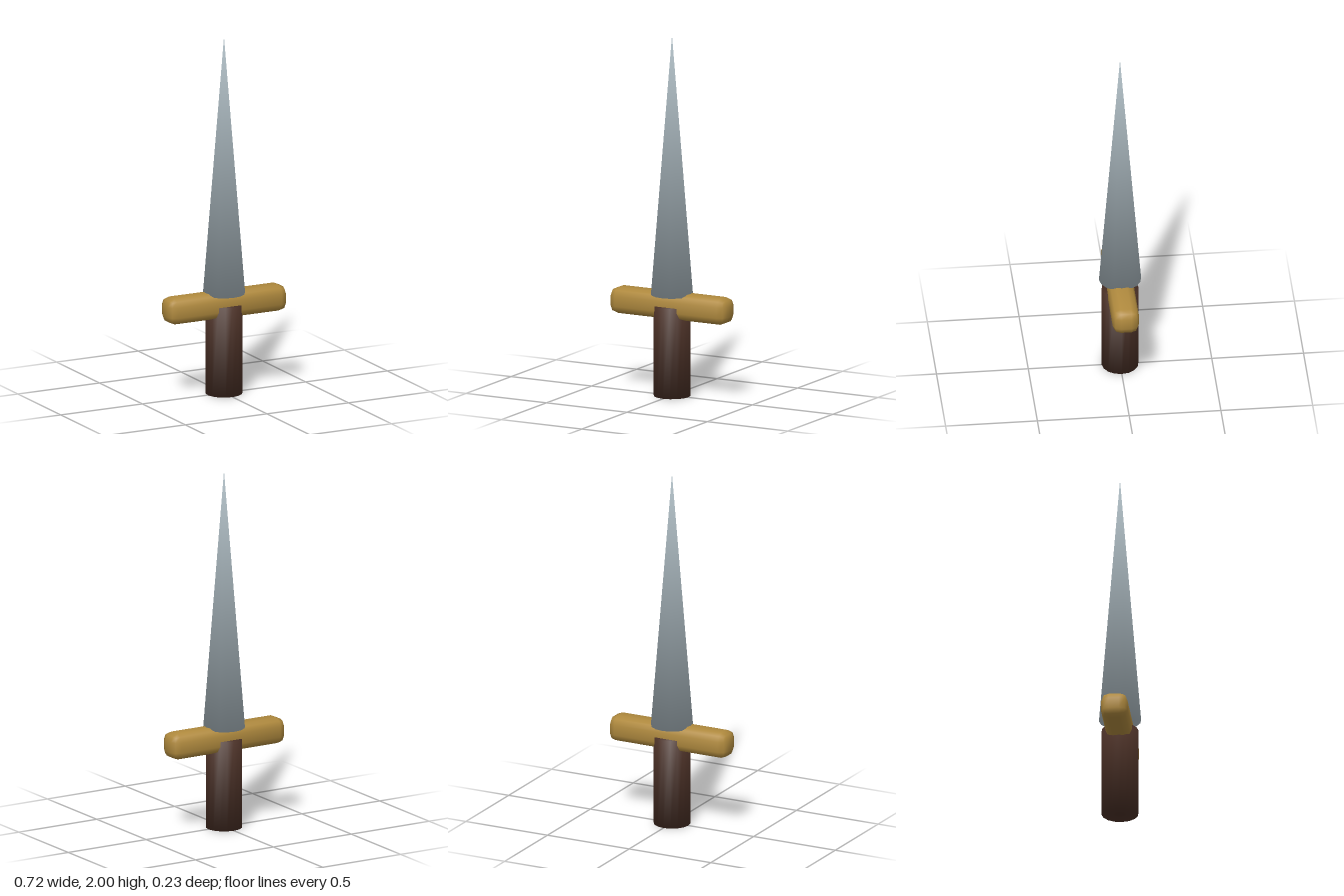
import * as THREE from 'three';
import { mergeVertices } from 'three/addons/utils/BufferGeometryUtils.js';
import { RoundedBoxGeometry } from 'three/addons/geometries/RoundedBoxGeometry.js';

// Welds all vertices and gives each one angle-weighted smooth normals, caps included
function smoothAll(source) {
  source.deleteAttribute('normal');
  source.deleteAttribute('uv');
  const geo = mergeVertices(source, 1e-4);
  geo.clearGroups();
  const pos = geo.attributes.position;
  const sums = Array.from({ length: pos.count }, () => new THREE.Vector3());
  for (let i = 0; i < geo.index.count; i += 3) {
    const ids = [0, 1, 2].map((k) => geo.index.getX(i + k));
    const p = ids.map((id) => new THREE.Vector3().fromBufferAttribute(pos, id));
    const face = p[1].clone().sub(p[0]).cross(p[2].clone().sub(p[0])).normalize();
    ids.forEach((id, k) => {
      const a = p[(k + 1) % 3].clone().sub(p[k]);
      const b = p[(k + 2) % 3].clone().sub(p[k]);
      sums[id].addScaledVector(face, a.angleTo(b));
    });
  }
  const normals = sums.flatMap((n) => n.normalize().toArray());
  geo.setAttribute('normal', new THREE.Float32BufferAttribute(normals, 3));
  return geo;
}

export function createModel() {
  const group = new THREE.Group();
  group.name = 'dagger';

  const material = (name, color) => {
    const m = new THREE.MeshStandardMaterial({ color });
    m.name = name;
    return m;
  };
  const add = (name, geometry, mat, y) => {
    const mesh = new THREE.Mesh(smoothAll(geometry), mat);
    mesh.name = name;
    mesh.position.y = y;
    group.add(mesh);
  };

  // Wooden grip standing on the ground
  add('handle', new THREE.CylinderGeometry(0.1, 0.1, 0.5, 16), material('dark wood', 0x4a3026), 0.25);

  // Softly bevelled cross bar
  add('guard', new RoundedBoxGeometry(0.72, 0.144, 0.144, 1, 0.043), material('brass', 0xb08a3e), 0.502);

  // Long conical blade
  add('blade', new THREE.ConeGeometry(0.115, 1.44, 16), material('steel', 0xb0bec5), 1.28);

  return group;
}
